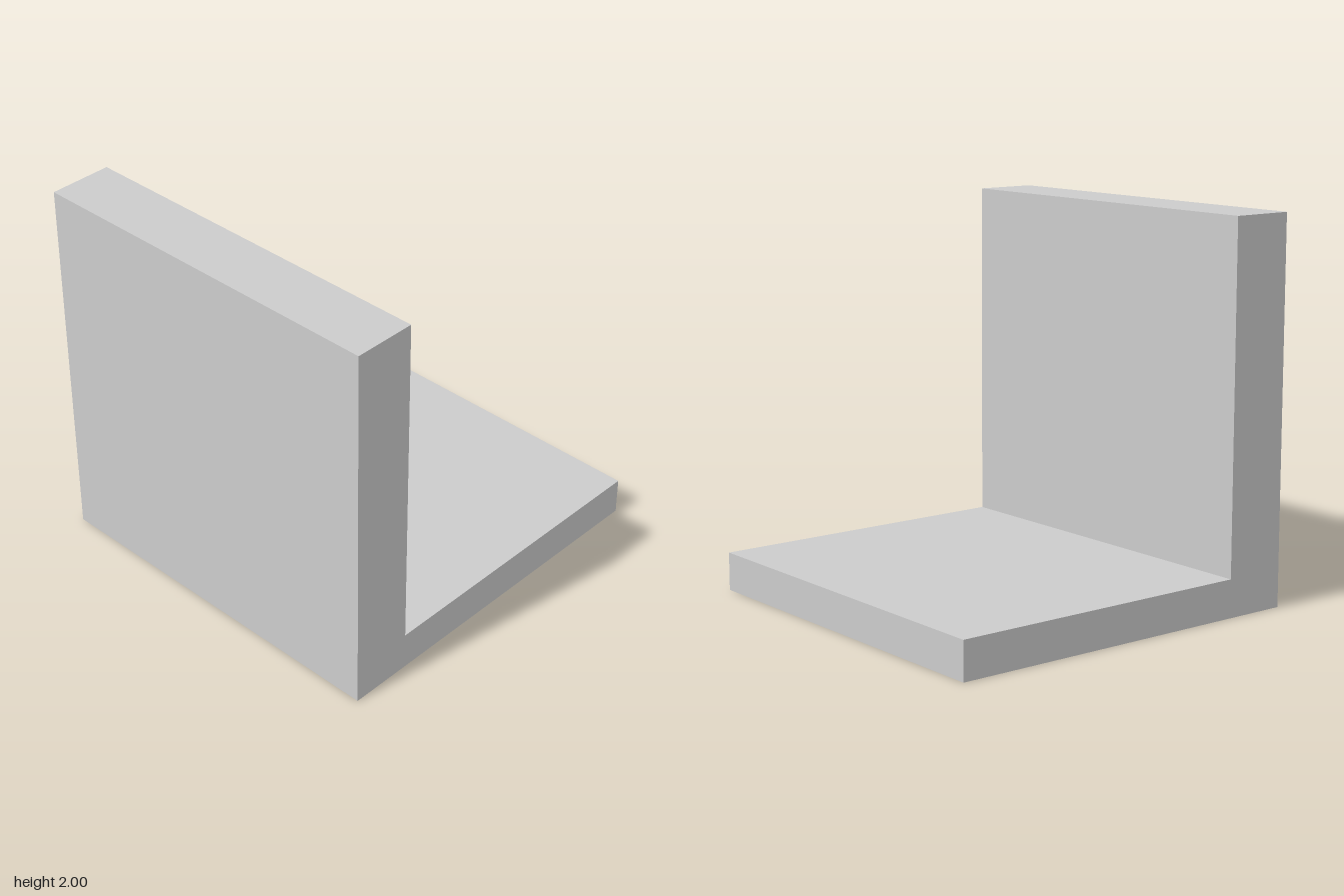
import * as THREE from 'three';

export function createModel() {
  const group = new THREE.Group();
  group.name = 'angleBracket';

  // L-shaped profile: thick upright wall on the right, thinner base plate
  const wallX = -0.667, baseY = 0.2, depth = 2;
  const profile = new THREE.Shape([
    [-1, 0], [1, 0], [1, baseY], [wallX, baseY], [wallX, 2], [-1, 2],
  ].map(([x, y]) => new THREE.Vector2(x, y)));

  // One solid extrusion along z, centred on the origin
  const geometry = new THREE.ExtrudeGeometry(profile, { depth, bevelEnabled: false });
  geometry.translate(0, 0, -depth / 2);

  const bracket = new THREE.Mesh(
    geometry,
    new THREE.MeshStandardMaterial({ color: 0xcccccc, flatShading: true }),
  );
  bracket.name = 'wallAndBase';
  group.add(bracket);
  return group;
}
